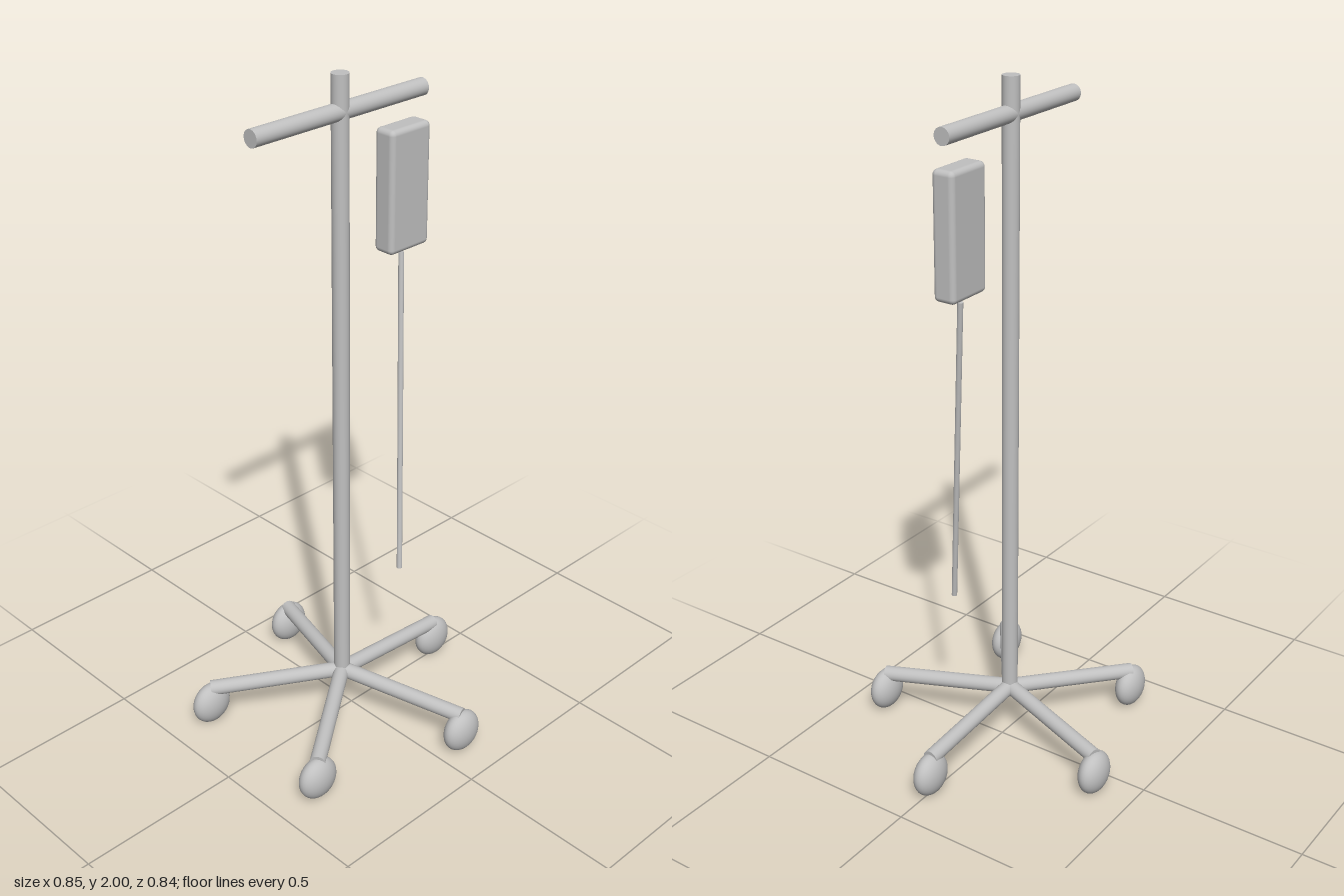
import * as THREE from 'three';
import { RoundedBoxGeometry } from 'three/addons/geometries/RoundedBoxGeometry.js';

const POLE_X = -0.04;

export function createModel() {
  const group = new THREE.Group();
  const grey = new THREE.MeshStandardMaterial({ color: 0xc0c0c0 });
  grey.name = 'grey metal';

  const add = (name, geometry) => {
    const mesh = new THREE.Mesh(geometry, grey);
    mesh.name = name;
    group.add(mesh);
    return mesh;
  };

  // Straight round bar between two points
  const rod = (name, from, to, radius) => {
    const a = new THREE.Vector3(...from);
    const b = new THREE.Vector3(...to);
    const dir = b.clone().sub(a);
    const mesh = add(name, new THREE.CylinderGeometry(radius, radius, dir.length(), 32));
    mesh.position.copy(a).add(b).multiplyScalar(0.5);
    mesh.quaternion.setFromUnitVectors(new THREE.Vector3(0, 1, 0), dir.normalize());
  };

  // Upright pole and hanging bar
  rod('pole', [POLE_X, 0.13, 0], [POLE_X, 2, 0], 0.024);
  rod('crossbar', [-0.34, 1.9, 0], [0.26, 1.9, 0], 0.024);

  // Five sloping legs with flattened ball casters
  for (let i = 0; i < 5; i++) {
    const angle = (i * Math.PI * 2) / 5;
    const x = POLE_X + 0.4 * Math.cos(angle);
    const z = 0.4 * Math.sin(angle);
    rod(`leg${i + 1}`, [POLE_X, 0.148, 0], [x, 0.118, z], 0.023);
    const caster = add(`caster${i + 1}`, new THREE.SphereGeometry(1, 32, 20));
    caster.scale.set(0.064, 0.065, 0.039);
    caster.position.set(x, 0.065, z);
  }

  // Fluid bag and its drip tube
  const bag = add('fluidBag', new RoundedBoxGeometry(0.148, 0.35, 0.068, 3, 0.015));
  bag.position.set(0.19, 1.64, 0);
  rod('dripTube', [0.19, 1.45, 0], [0.1, 0.5, 0.1], 0.008);

  return group;
}
